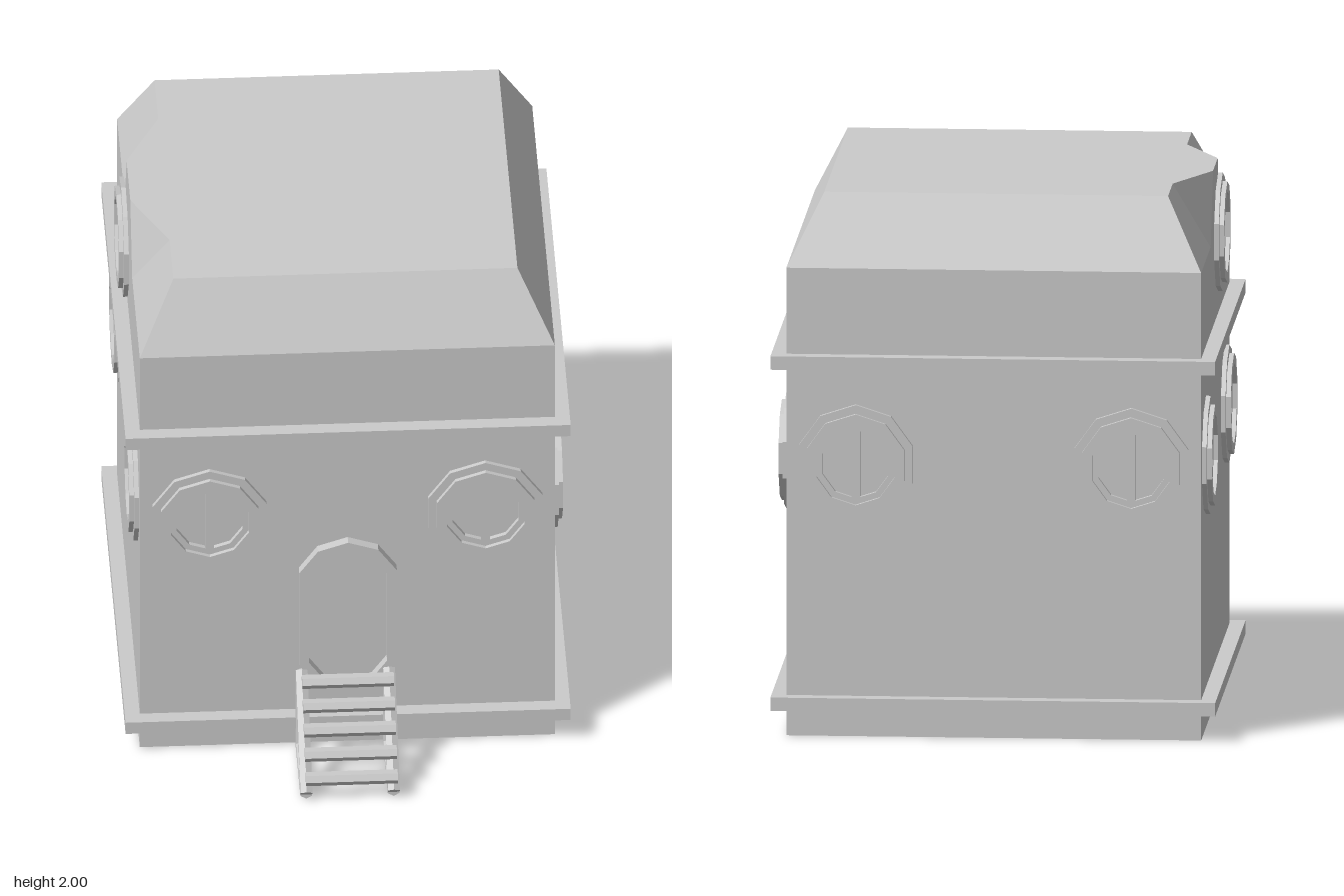
import * as THREE from 'three';

const mat = new THREE.MeshStandardMaterial({ color: 0xcccccc, flatShading: true });
const HALF = 0.76, EAVE = 1.74, TOP = 2, CZ = -0.17;

function add(parent, geo, name) {
  const m = new THREE.Mesh(geo, mat);
  m.name = name;
  parent.add(m);
  return m;
}

// ten-sided outline with a point at the top; stretch pulls the halves apart vertically
function decagon(r, stretch, Type) {
  const pts = [];
  for (let i = 0; i < 10; i++) {
    const a = (18 + i * 36) * Math.PI / 180, s = Math.sin(a);
    pts.push(new THREE.Vector2(r * Math.cos(a), r * s + Math.sign(s) * stretch / 2));
  }
  return new Type(pts);
}

// flat ring frame from z0 to z1, facing +z
function ring(rOut, rIn, z0, z1, stretch = 0) {
  const s = decagon(rOut, stretch, THREE.Shape);
  s.holes.push(decagon(rIn, stretch, THREE.Path));
  return new THREE.ExtrudeGeometry(s, { depth: z1 - z0, bevelEnabled: false }).translate(0, 0, z0);
}

function porthole(withBar) {
  const g = new THREE.Group();
  g.name = 'window';
  add(g, ring(0.22, 0.17, 0, 0.017), 'windowOuterRing');
  add(g, ring(0.188, 0.15, 0, 0.034), 'windowRaisedRing');
  add(g, ring(0.152, 0.127, 0, 0.018), 'windowInnerFrame');
  if (withBar) add(g, new THREE.BoxGeometry(0.032, 0.27, 0.018).translate(0, 0, 0.009), 'windowBar');
  return g;
}

// flat polygons as triangle fans, each turned away from the centre
function shell(faces) {
  const pos = [], centre = new THREE.Vector3(0, 1, 0), n = new THREE.Vector3();
  for (const f of faces) {
    const v = f.map(p => new THREE.Vector3(...p));
    for (let i = 1; i < v.length - 1; i++) {
      const t = [v[0], v[i], v[i + 1]];
      new THREE.Triangle(...t).getNormal(n);
      if (n.dot(v[0].clone().sub(centre)) < 0) t.reverse();
      t.forEach(p => pos.push(p.x, p.y, p.z));
    }
  }
  const g = new THREE.BufferGeometry();
  g.setAttribute('position', new THREE.Float32BufferAttribute(pos, 3));
  g.computeVertexNormals();
  return g;
}

// hipped roof with a dormer wall breaking through the right-hand slope
function roofGeometry() {
  const H = HALF, T = 0.63;
  const faces = [
    [[-T, TOP, T], [T, TOP, T], [T, TOP, -T], [-T, TOP, -T]],
    [[H, EAVE, H], [H, EAVE, -H], [T, TOP, -T], [T, TOP, T]],
    [[-T, TOP, 0.385], [-T, TOP, -0.385], [-H, TOP, -0.125], [-H, TOP, 0.125]],
    [[-H, EAVE, 0.25], [-H, EAVE, -0.25], [-H, TOP, -0.125], [-H, TOP, 0.125]],
  ];
  for (const s of [1, -1]) {
    faces.push(
      [[-H, EAVE, s * H], [H, EAVE, s * H], [T, TOP, s * T], [-T, TOP, s * T]],
      [[-H, EAVE, s * H], [-H, EAVE, s * 0.25], [-T, TOP, s * 0.385], [-T, TOP, s * T]],
      [[-T, TOP, s * 0.385], [-H, TOP, s * 0.125], [-H, EAVE, s * 0.25]],
    );
  }
  return shell(faces);
}

// six-sided bar between two points
function hexBar(parent, a, b, r, name) {
  const A = new THREE.Vector3(...a), B = new THREE.Vector3(...b), d = B.clone().sub(A);
  const m = add(parent, new THREE.CylinderGeometry(r, r, d.length(), 6), name);
  m.position.copy(A).add(B).multiplyScalar(0.5);
  m.quaternion.setFromUnitVectors(new THREE.Vector3(0, 1, 0), d.normalize());
}

function stairs() {
  const g = new THREE.Group();
  g.name = 'stairs';
  for (const x of [-0.17, 0.15]) {
    hexBar(g, [x, 0.02, 0.642], [x, 0.35, 0.642], 0.025, 'stairPost');
    hexBar(g, [x, 0.026, 0.63], [x, 0.026, 0.95], 0.025, 'stairFoot');
    hexBar(g, [x, 0.032, 0.963], [x, 0.352, 0.635], 0.025, 'stairStringer');
  }
  for (let i = 0; i < 5; i++) {
    const y = 0.095 + i * 0.0638, z = 0.96 - i * 0.0638;
    hexBar(g, [-0.172, y, z], [0.164, y, z], 0.026, 'stairTread');
  }
  return g;
}

export function createModel() {
  const model = new THREE.Group();
  model.name = 'house';
  const house = new THREE.Group();
  house.name = 'building';
  house.position.z = CZ;
  model.add(house);

  // walls, roof and the two trim bands
  add(house, new THREE.BoxGeometry(2 * HALF, EAVE, 2 * HALF).translate(0, EAVE / 2, 0), 'walls');
  add(house, roofGeometry(), 'roof');
  for (const [y, name] of [[0.125, 'lowerBand'], [1.395, 'upperBand']]) {
    add(house, new THREE.BoxGeometry(1.63, 0.05, 1.63), name).position.y = y;
  }

  // two round windows on each wall
  for (let k = 0; k < 4; k++) {
    const side = new THREE.Group();
    side.name = 'wallWindows';
    side.rotation.y = k * Math.PI / 2;
    for (const x of [-0.505, 0.505]) {
      const w = porthole(true);
      w.position.set(x, 1.015, HALF);
      side.add(w);
    }
    house.add(side);
  }

  // dormer window
  const dormer = porthole(false);
  dormer.name = 'dormerWindow';
  dormer.rotation.y = -Math.PI / 2;
  dormer.position.set(-HALF - 0.01, 1.75, 0);
  house.add(dormer);

  // door frame, a stretched ring standing just off the wall
  add(model, ring(0.188, 0.15, 0.608, 0.645, 0.298), 'doorFrame').position.y = 0.587;

  model.add(stairs());
  return model;
}
